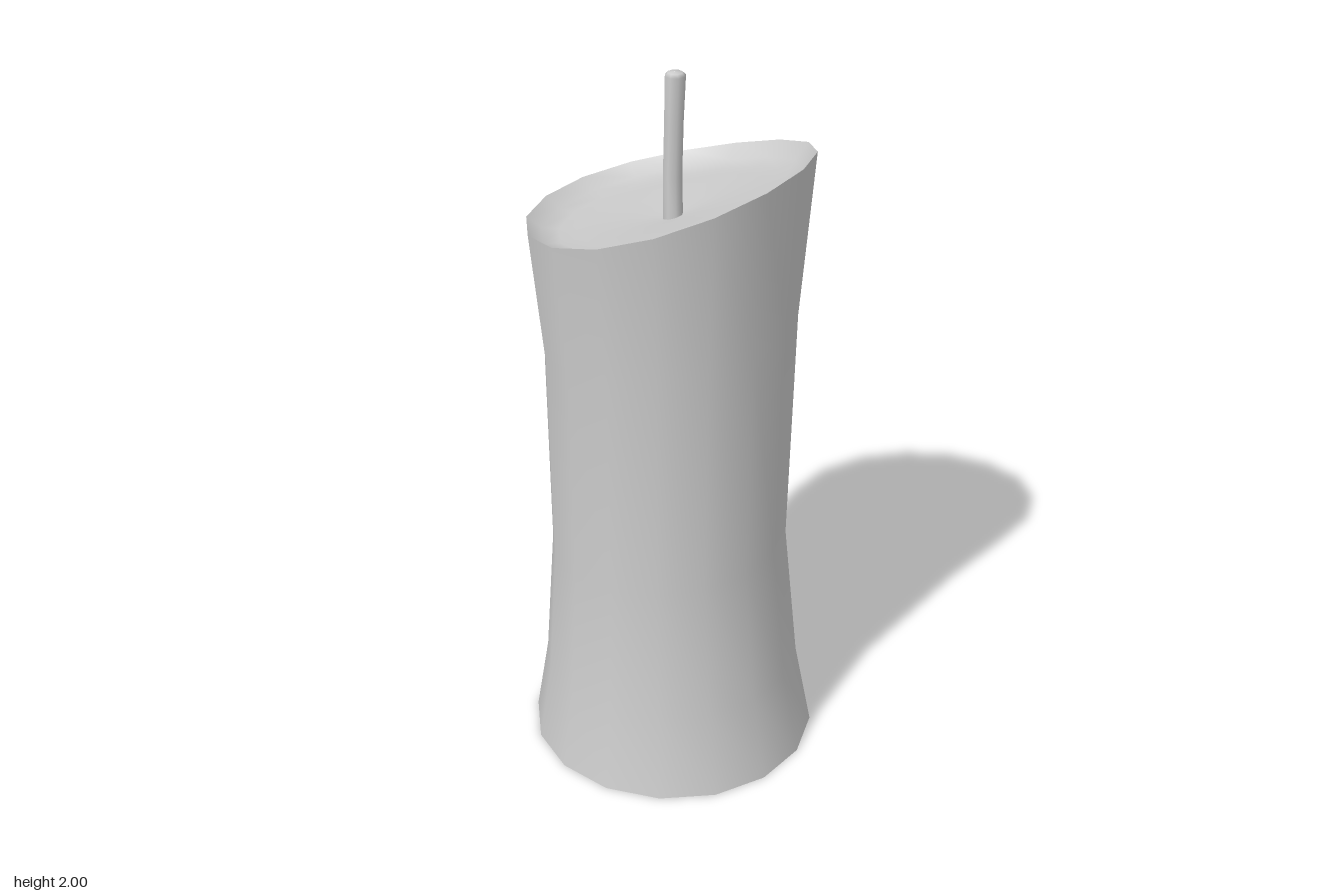
import * as THREE from 'three';

// Smooth skin through a list of rings, each a function angle -> [x, y, z]
function loft(rings, sides, name, side = THREE.FrontSide) {
  const pos = [], index = [];
  rings.forEach((ring, r) => {
    for (let i = 0; i < sides; i++) {
      pos.push(...ring((i / sides) * Math.PI * 2));
      if (r === rings.length - 1) continue;
      const a = r * sides + i, b = r * sides + (i + 1) % sides;
      index.push(a, a + sides, b + sides, a, b + sides, b);
    }
  });
  const geo = new THREE.BufferGeometry();
  geo.setAttribute('position', new THREE.Float32BufferAttribute(pos, 3));
  geo.setIndex(index);
  geo.computeVertexNormals();
  const mesh = new THREE.Mesh(geo, new THREE.MeshStandardMaterial({ color: 0xcccccc, side }));
  mesh.name = name;
  return mesh;
}

// Oval ring whose height follows a slope and a slight curve along x
const ring = (cx, y, rx, rz, slope = 0, curve = 0) => (a) => {
  const x = cx + rx * Math.cos(a);
  return [x, y + slope * x + curve * x * x, rz * Math.sin(a)];
};

export function createModel() {
  const group = new THREE.Group();
  group.name = 'candle';

  // Waisted wax body, open below, with a slanted rim
  group.add(loft([
    ring(0, 0, 0.405, 0.405),
    ring(-0.007, 0.235, 0.363, 0.363, 0.04),
    ring(-0.015, 0.625, 0.33, 0.332, 0.08),
    ring(-0.01, 1.27, 0.34, 0.345, 0.2),
    ring(-0.01, 1.67, 0.375, 0.385, 0.305, 0.2),
  ], 16, 'waxBody', THREE.DoubleSide));

  // Sunken top: [share of rim radius, depth below rim]
  const dish = [[1, 0], [0.9, 0.035], [0.78, 0.045], [0.66, 0.045], [0.3, 0.055], [0.002, 0.068]];
  group.add(loft(dish.map(([s, d]) =>
    ring(-0.01 * s, 1.67 - d, 0.375 * s, 0.385 * s, 0.305, 0.2)), 16, 'meltedTop', THREE.DoubleSide));

  // Slightly bent wick with a domed end: [centre x, y, radius]
  const wick = [[0, 1.57, 0.027], [-0.002, 1.72, 0.026], [0.002, 1.87, 0.026],
    [0.006, 1.99, 0.028], [0.005, 1.998, 0.02], [0.004, 2, 0.001]];
  group.add(loft(wick.map(([x, y, r]) => ring(x, y, r, r)), 8, 'wick'));

  return group;
}
